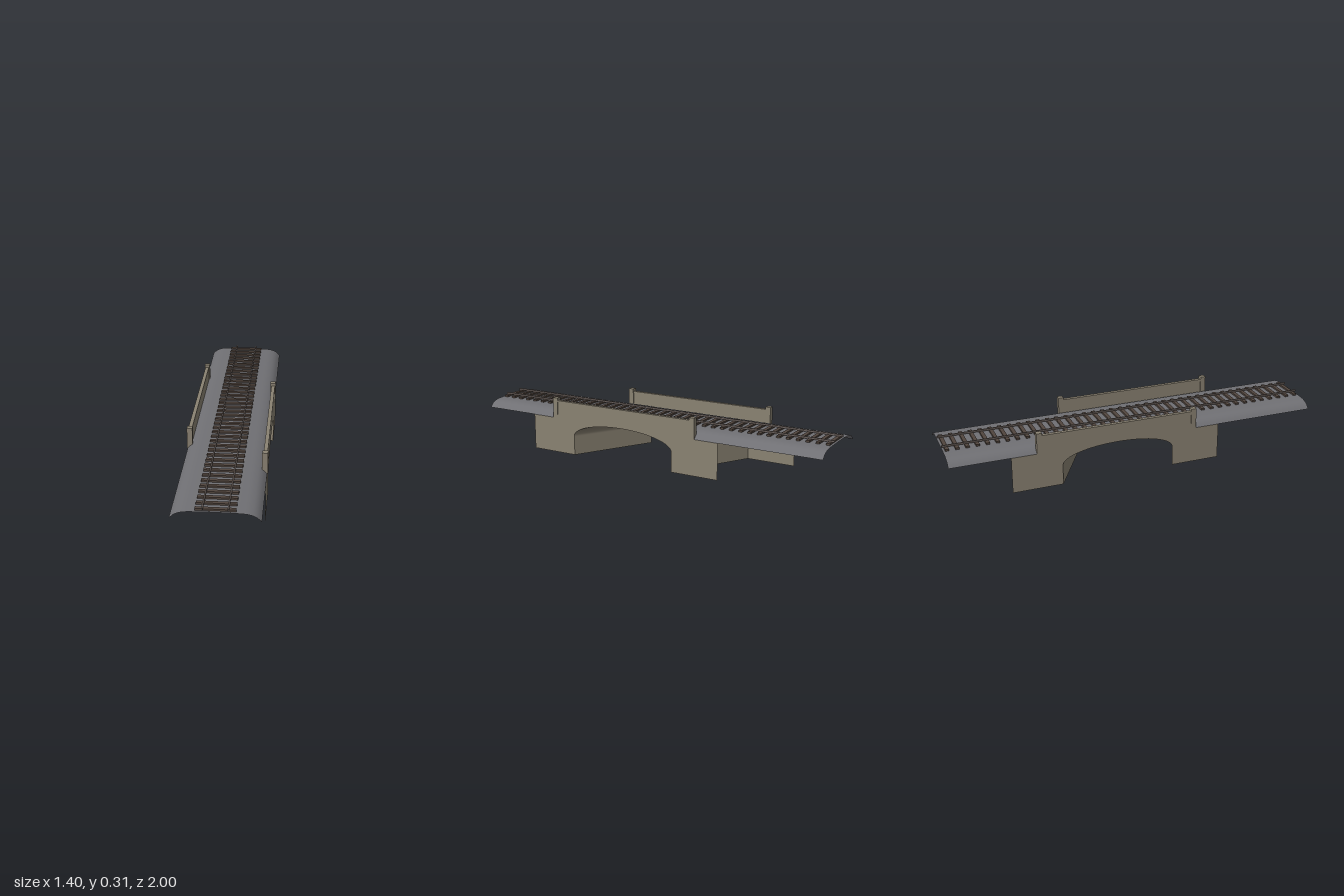
import * as THREE from 'three';

const SKEW = Math.PI / 6;                 // track direction relative to the road below
const COS = Math.cos(SKEW), SIN = Math.sin(SKEW), TAN = Math.tan(SKEW);
const LENGTH = 2.065, HALF_W = 0.214;     // track bed
const FACE_X = HALF_W / COS;              // where the faces cross the road axis
const SHIFT = FACE_X * SIN;               // slide of each face along the track
const ARCH_R = 0.27, SPRING = 0.11, CROWN = 0.195, ABUT = 0.508;

const mat = (color, side = THREE.FrontSide) => new THREE.MeshStandardMaterial({ color, side });
const stone = mat(0x8a8272);
const stoneSheet = mat(0x8a8272, THREE.DoubleSide);
const gravel = mat(0x707074, THREE.DoubleSide);
const timber = mat(0x51453d);
const steel = mat(0x6a605b);

function add(parent, name, geometry, material, x = 0, y = 0, z = 0) {
  const mesh = new THREE.Mesh(geometry, material);
  mesh.name = name;
  mesh.position.set(x, y, z);
  parent.add(mesh);
  return mesh;
}

// Smooth open sheet swept between two ends of a profile
function sheet(profile, start, end) {
  const pos = [], idx = [];
  profile.forEach((p, i) => {
    pos.push(...start(p), ...end(p));
    if (i) {
      const a = 2 * i - 2;
      idx.push(a, a + 1, a + 2, a + 1, a + 3, a + 2);
    }
  });
  const g = new THREE.BufferGeometry();
  g.setAttribute('position', new THREE.Float32BufferAttribute(pos, 3));
  g.setIndex(idx);
  g.computeVertexNormals();
  return g;
}

// Arch profile across the road: [z, y]
function archProfile() {
  const pts = [[-ARCH_R, 0], [-ARCH_R, SPRING - 0.005]];
  for (let i = 0; i <= 32; i++) {
    const a = Math.PI * (1 - i / 32);
    pts.push([ARCH_R * Math.cos(a), SPRING + (CROWN - SPRING) * Math.sin(a)]);
  }
  pts.push([ARCH_R, SPRING - 0.005], [ARCH_R, 0]);
  return pts;
}

export function createModel() {
  const model = new THREE.Group();
  model.name = 'skewedRailwayBridge';
  const arch = archProfile();

  // Vault, running straight along x with skewed ends
  const vaultEnd = (s) => ([z, y]) => [s * FACE_X + z * TAN, y, z];
  add(model, 'archVault', sheet(arch, vaultEnd(-1), vaultEnd(1)), stoneSheet);

  // Everything else follows the track direction
  const line = new THREE.Group();
  line.name = 'trackAndWalls';
  line.rotation.y = SKEW;
  model.add(line);

  // Cambered bed
  const bed = new THREE.SplineCurve([
    [-HALF_W, 0.2], [-0.193, 0.221], [-0.165, 0.234], [-0.12, 0.24], [0, 0.242],
    [0.12, 0.24], [0.165, 0.234], [0.193, 0.221], [HALF_W, 0.2],
  ].map(([x, y]) => new THREE.Vector2(x, y))).getPoints(32);
  const bedEnd = (z) => (p) => [p.x, p.y, z];
  add(line, 'trackBed', sheet(bed, bedEnd(LENGTH / 2), bedEnd(-LENGTH / 2)), gravel);

  // Sleepers
  const sleeper = new THREE.BoxGeometry(0.192, 0.015, 0.02);
  const COUNT = 39, SPAN = 2.02;
  for (let i = 0; i < COUNT; i++) {
    add(line, 'sleeper', sleeper, timber, 0, 0.2435, SPAN * (i / (COUNT - 1) - 0.5));
  }

  // Arched face sheet, drawn along the track direction
  const outline = new THREE.Shape();
  const point = ([z, y]) => [z / COS, y];
  outline.moveTo(...point([-ABUT, 0]));
  arch.forEach((p) => outline.lineTo(...point(p)));
  [[ABUT, 0], [ABUT, 0.2], [-ABUT, 0.2]].forEach((p) => outline.lineTo(...point(p)));
  outline.closePath();
  const face = new THREE.ShapeGeometry(outline).rotateY(-Math.PI / 2);

  const parapet = new THREE.BoxGeometry(0.02, 0.1, 0.87);
  const post = new THREE.BoxGeometry(0.029, 0.115, 0.029);
  const rail = new THREE.BoxGeometry(0.007, 0.01, LENGTH);

  for (const s of [-1, 1]) {
    add(line, 'rail', rail, steel, s * 0.06, 0.255, 0);

    // Each side wall slides along the track so the vault stays square to the road
    const wall = new THREE.Group();
    wall.name = s > 0 ? 'leftWall' : 'rightWall';
    wall.position.z = s * SHIFT;
    line.add(wall);
    add(wall, 'archFace', face, stoneSheet, s * HALF_W, 0, 0);
    add(wall, 'parapet', parapet, stone, s * (HALF_W - 0.01), 0.25, 0);
    for (const e of [-1, 1]) {
      add(wall, 'parapetPost', post, stone, s * 0.203, 0.2575, e * 0.435);
    }
  }
  return model;
}
